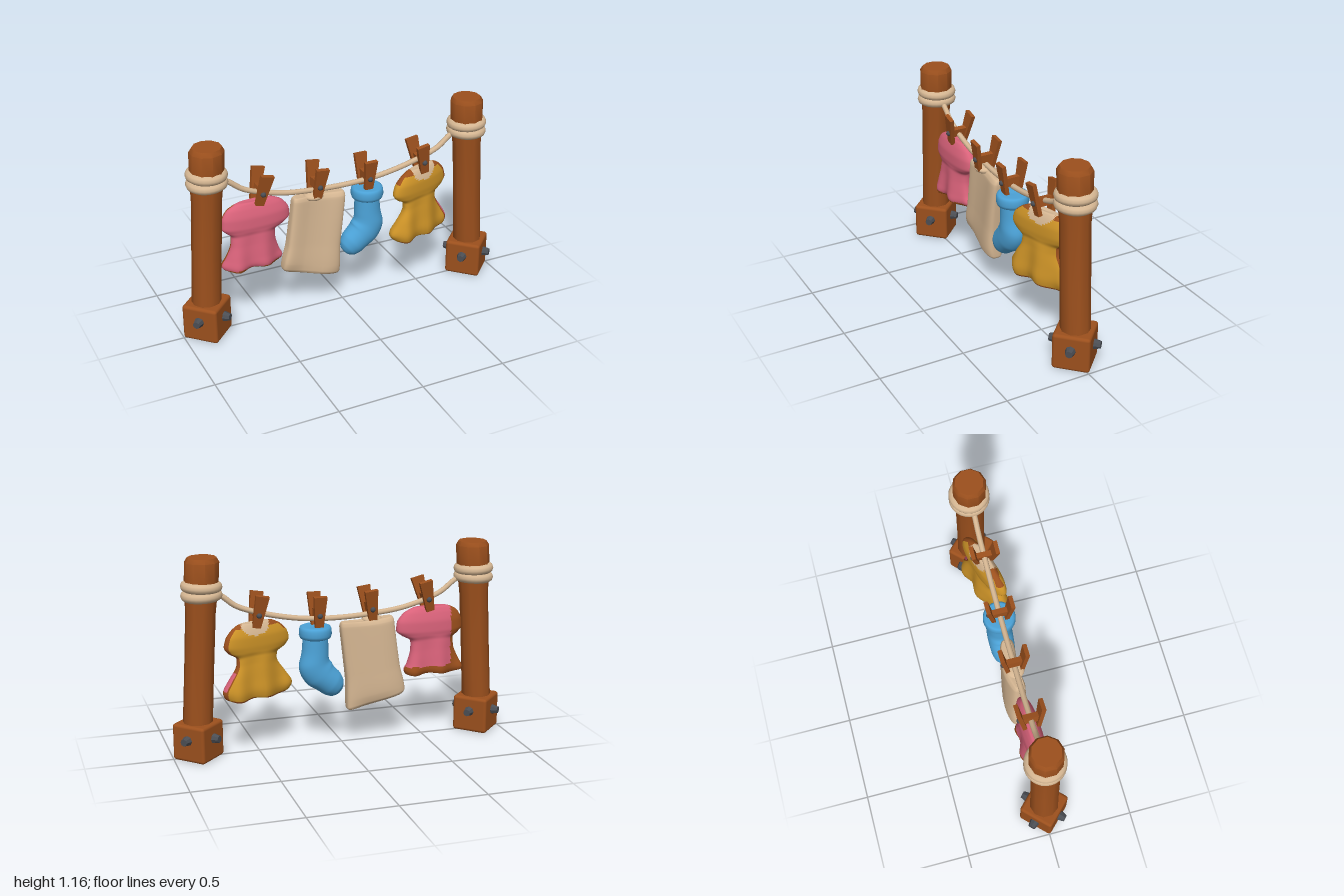
import * as THREE from 'three';
import { toCreasedNormals } from 'three/addons/utils/BufferGeometryUtils.js';
import { RoundedBoxGeometry } from 'three/addons/geometries/RoundedBoxGeometry.js';

const mat = (name, color) => Object.assign(new THREE.MeshStandardMaterial({ color }), { name });
const wood = mat('wood', 0x9c501d);
const rope = mat('rope and linen', 0xd6b793);
const pink = mat('pink cloth', 0xd9627a);
const blue = mat('blue cloth', 0x4ca3d8);
const yellow = mat('yellow cloth', 0xcd9327);
const metal = mat('dark metal', 0x4b4e54);

function add(parent, name, geometry, material, x = 0, y = 0, z = 0) {
  const mesh = new THREE.Mesh(geometry, material);
  mesh.name = name;
  mesh.position.set(x, y, z);
  parent.add(mesh);
  return mesh;
}

// Smooth closed loft. Stations run top to bottom: [x, y, halfWidth, halfDepth, tilt].
// warp moves each point; paint picks a material index for each face.
function loft(stations, { power = 1, warp = () => {}, paint = () => 0, rows = 56, sides = 64 } = {}) {
  const path = new THREE.CatmullRomCurve3(stations.map(s => new THREE.Vector3(s[0], s[1], s[4] || 0)));
  const size = new THREE.CatmullRomCurve3(stations.map(s => new THREE.Vector3(s[2], s[3], 0)));
  const pos = [], faces = [[], [], [], []];
  const v = new THREE.Vector3();
  const curve = n => Math.sign(n) * Math.abs(n) ** power;
  for (let i = 0; i <= rows; i++) {
    const c = path.getPoint(i / rows), h = size.getPoint(i / rows);
    for (let j = 0; j < sides; j++) {
      const a = j / sides * Math.PI * 2;
      const u = curve(Math.cos(a)) * Math.max(h.x, 0.0005);
      const w = curve(Math.sin(a)) * Math.max(h.y, 0.0005);
      v.set(c.x + u * Math.cos(c.z), c.y + u * Math.sin(c.z), w);
      warp(v, i / rows);
      pos.push(v.x, v.y, v.z);
    }
  }
  for (let i = 0; i < rows; i++) for (let j = 0; j < sides; j++) {
    const k = (j + 1) % sides, a = i * sides + j, b = i * sides + k, c = a + sides, d = b + sides;
    const mid = n => (pos[a * 3 + n] + pos[d * 3 + n]) / 2;
    const t = (j + 0.5) / sides * Math.PI * 2;
    faces[paint(mid(0), mid(1), Math.cos(t), Math.sin(t))].push(a, b, c, b, d, c);
  }
  const g = new THREE.BufferGeometry();
  g.setAttribute('position', new THREE.Float32BufferAttribute(pos, 3));
  g.setIndex(faces.flat());
  let start = 0;
  faces.forEach((f, m) => { if (f.length) g.addGroup(start, f.length, m); start += f.length; });
  g.computeVertexNormals();
  return g;
}

// Leaning post in a bolted block, with two turns of rope
function makePost(side) {
  const g = new THREE.Group();
  g.name = side < 0 ? 'rightPost' : 'leftPost';
  const profile = [[0, 0.1], [0.086, 0.1], [0.084, 0.5], [0.085, 0.85], [0.096, 1.0], [0.097, 1.135], [0.082, 1.16], [0, 1.16]];
  const geo = new THREE.LatheGeometry(profile.map(p => new THREE.Vector2(...p)), 10);
  const p = geo.attributes.position;
  for (let i = 0; i < p.count; i++) p.setX(i, p.getX(i) + side * (0.866 - 0.064 * p.getY(i) / 1.16));
  add(g, 'post', toCreasedNormals(geo, 0.7), wood);

  const bx = side * 0.855;
  add(g, 'baseBlock', new RoundedBoxGeometry(0.212, 0.215, 0.212, 2, 0.018), wood, bx, 0.1075, 0).rotation.y = Math.PI / 4;
  for (let i = 0; i < 4; i++) {
    const a = Math.PI / 4 + i * Math.PI / 2;
    const geo = toCreasedNormals(new THREE.CylinderGeometry(0.021, 0.031, 0.045, 8), 0.6);
    const bolt = add(g, 'baseBolt', geo, metal, bx + Math.cos(a) * 0.122, 0.13, Math.sin(a) * 0.122);
    bolt.quaternion.setFromUnitVectors(new THREE.Vector3(0, 1, 0), new THREE.Vector3(Math.cos(a), 0, Math.sin(a)));
  }
  [[0.998, 0.04], [0.948, -0.03]].forEach(([y, tilt]) => {
    const ring = add(g, 'ropeTurn', new THREE.TorusGeometry(0.088, 0.029, 10, 28), rope, side * 0.811, y, -0.004);
    ring.rotation.set(Math.PI / 2, tilt * side, 0);
  });
  return g;
}

// Clothes peg: two tapered boards, a block between them and a rivet on each face
function makePeg(x, y, lean) {
  const g = new THREE.Group();
  g.name = 'clothesPeg';
  g.position.set(x, y, 0);
  g.rotation.z = lean;
  for (const s of [1, -1]) {
    const geo = new THREE.BoxGeometry(0.078, 0.19, 0.024);
    const p = geo.attributes.position;
    for (let i = 0; i < p.count; i++) if (p.getY(i) < 0) p.setX(i, p.getX(i) * 0.62);
    geo.computeVertexNormals();
    add(g, 'pegBoard', geo, wood, 0, 0, s * 0.055).rotation.x = s * 0.17;
    add(g, 'pegRivet', new THREE.SphereGeometry(0.016, 10, 8), metal, 0, -0.02, s * 0.064);
  }
  add(g, 'pegBlock', new THREE.BoxGeometry(0.032, 0.05, 0.1), wood, 0, -0.02, 0);
  return g;
}

export function createModel() {
  const model = new THREE.Group();
  model.name = 'clothesline';
  model.add(makePost(-1), makePost(1));

  // Sagging line
  const line = [[-0.79, 0.975], [-0.7, 0.935], [-0.6, 0.862], [-0.39, 0.793], [-0.2, 0.768], [0.035, 0.758], [0.24, 0.77], [0.46, 0.815], [0.62, 0.872], [0.7, 0.935], [0.79, 0.975]];
  const curve = new THREE.CatmullRomCurve3(line.map(([x, y]) => new THREE.Vector3(x, y, 0)));
  add(model, 'line', new THREE.TubeGeometry(curve, 60, 0.016, 8), rope);

  [[-0.508, 0.858, -0.23], [-0.166, 0.825, -0.12], [0.147, 0.81, 0], [0.497, 0.84, 0.17]]
    .forEach(peg => model.add(makePeg(...peg)));

  // Pink shirt with worn brown hem and side
  const folds = (amount, cx, slope) => (v, t) => {
    const f = Math.max(0, t - 0.45) * amount;
    v.z += f * Math.sin((v.x - cx) * 38) - slope * (v.x - cx);
    v.y += f * 0.35 * Math.cos((v.x - cx) * 30);
  };
  const pinkShirt = [
    [-0.54, 0.782, 0, 0], [-0.545, 0.785, 0.09, 0.022], [-0.545, 0.755, 0.165, 0.04], [-0.54, 0.7, 0.202, 0.056],
    [-0.54, 0.65, 0.206, 0.058], [-0.545, 0.618, 0.178, 0.055], [-0.556, 0.585, 0.134, 0.052], [-0.56, 0.53, 0.137, 0.056],
    [-0.565, 0.45, 0.163, 0.064], [-0.567, 0.405, 0.183, 0.066], [-0.57, 0.382, 0.172, 0.055], [-0.57, 0.395, 0, 0]];
  add(model, 'pinkShirt', loft(pinkShirt, {
    power: 0.85, warp: folds(0.035, -0.55, 0.03),
    paint: (x, y, c, s) => (y < 0.392 || (s < 0 && (x < -0.665 || y < 0.43))) ? 1 : 0,
  }), [pink, wood]);

  // Yellow shirt, turned on the line, with a pale collar and brown seams
  const yellowShirt = [
    [0.51, 0.768, 0, 0], [0.512, 0.773, 0.085, 0.022], [0.508, 0.748, 0.145, 0.04], [0.504, 0.7, 0.19, 0.056],
    [0.503, 0.65, 0.203, 0.058], [0.503, 0.612, 0.178, 0.055], [0.504, 0.58, 0.128, 0.052], [0.505, 0.54, 0.127, 0.056],
    [0.503, 0.45, 0.178, 0.066], [0.501, 0.38, 0.214, 0.072], [0.51, 0.335, 0.18, 0.06], [0.51, 0.35, 0, 0]];
  add(model, 'yellowShirt', loft(yellowShirt, {
    power: 0.85, warp: folds(0.035, 0.505, 0.31),
    paint: (x, y, c, s) => {
      if (y > 0.69 && ((x - 0.517) / 0.088) ** 2 + ((y - 0.775) / 0.07) ** 2 < 1) return 2;
      if (c > 0.93 && y > 0.4 && y < 0.5) return 3;
      return (y < 0.343 || c > 0.9 || y > 0.748 || (y > 0.71 && Math.abs(s) < 0.35)) ? 1 : 0;
    },
  }), [yellow, wood, rope, pink]);

  // Hanging towel, its lower edge slanting, with a fold pinched by the peg
  const towel = [
    [-0.152, 0.732, 0, 0, -0.05], [-0.152, 0.737, 0.15, 0.03, -0.05], [-0.153, 0.71, 0.163, 0.045, -0.06],
    [-0.168, 0.58, 0.163, 0.05, -0.1], [-0.188, 0.42, 0.165, 0.054, -0.18], [-0.202, 0.3, 0.18, 0.056, -0.24],
    [-0.205, 0.255, 0.182, 0.05, -0.25], [-0.205, 0.237, 0.165, 0.035, -0.25], [-0.205, 0.24, 0, 0, -0.25]];
  add(model, 'towel', loft(towel, {
    power: 0.5, warp: (v, t) => { v.z += 0.012 * Math.sin(v.x * 16 + t * 4) - 0.01; },
  }), rope);
  const pinch = add(model, 'towelFold', new THREE.SphereGeometry(1, 20, 14), rope, -0.183, 0.733, 0);
  pinch.scale.set(0.06, 0.027, 0.055);

  // Sock: foot curving toward the toe, and a rolled cuff
  const sock = [
    [0.157, 0.69, 0, 0, 0], [0.157, 0.685, 0.072, 0.066, 0], [0.16, 0.58, 0.077, 0.07, -0.05], [0.168, 0.5, 0.092, 0.075, -0.3],
    [0.14, 0.44, 0.096, 0.076, -0.65], [0.098, 0.4, 0.085, 0.074, -0.9], [0.062, 0.368, 0.08, 0.07, -0.9],
    [0.03, 0.338, 0.062, 0.055, -0.9], [0.012, 0.322, 0.03, 0.028, -0.9], [0.008, 0.318, 0, 0, -0.9]];
  add(model, 'sock', loft(sock), blue);
  const cuff = [[0, 0.65], [0.07, 0.645], [0.088, 0.652], [0.095, 0.67], [0.094, 0.7], [0.088, 0.716], [0.075, 0.721], [0, 0.715]];
  add(model, 'sockCuff', new THREE.LatheGeometry(cuff.map(p => new THREE.Vector2(...p)), 28), blue, 0.158, 0, 0);

  return model;
}
